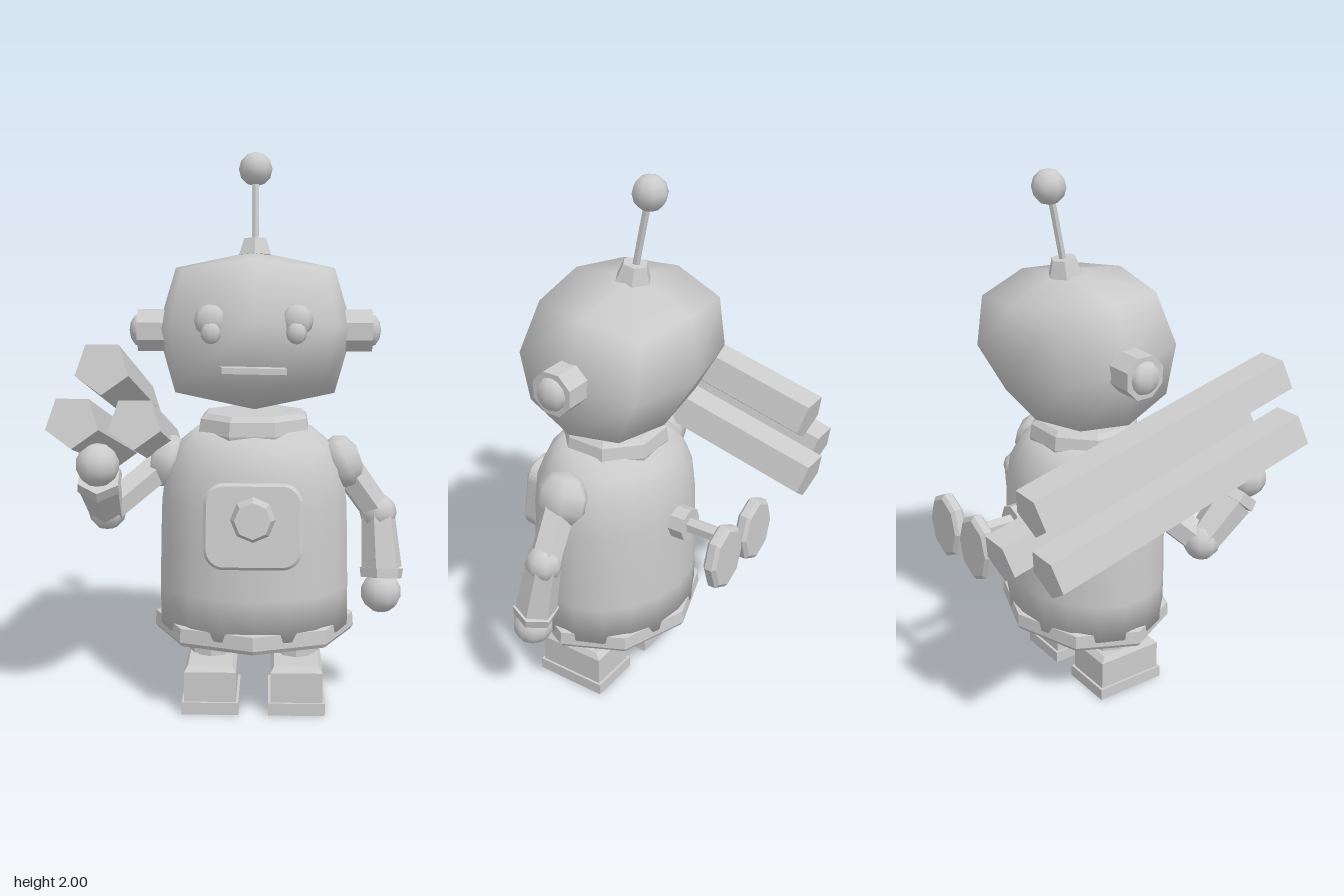
import * as THREE from 'three';
import { mergeVertices } from 'three/addons/utils/BufferGeometryUtils.js';

const CX = 0.053; // the body's own middle line
const CZ = 0.055;
const smooth = new THREE.MeshStandardMaterial({ color: 0xcccccc });
const flat = new THREE.MeshStandardMaterial({ color: 0xcccccc, flatShading: true });
const V = (x, y, z) => new THREE.Vector3(x, y, z);

export function createModel() {
  const model = new THREE.Group();
  model.name = 'toyRobot';

  const add = (name, geometry, pos, material = flat, parent = model) => {
    const mesh = new THREE.Mesh(geometry, material);
    mesh.name = name;
    mesh.position.set(...pos);
    parent.add(mesh);
    return mesh;
  };
  const cyl = (rTop, rBottom, h, sides) => new THREE.CylinderGeometry(rTop, rBottom, h, sides);
  // Tapered bar from point a to point b
  const bar = (name, a, b, ra, rb, sides = 6) => {
    const dir = b.clone().sub(a);
    const mesh = add(name, cyl(rb, ra, dir.length(), sides), a.clone().lerp(b, 0.5).toArray());
    mesh.quaternion.setFromUnitVectors(V(0, 1, 0), dir.normalize());
    return mesh;
  };
  const ball = (name, pos, r, scale = [1, 1, 1], w = 10, h = 7, parent = model) => {
    const mesh = add(name, new THREE.SphereGeometry(r, w, h), pos, smooth, parent);
    mesh.scale.set(...scale);
    return mesh;
  };
  const lathe = (points, sides) =>
    new THREE.LatheGeometry(points.map(([x, y]) => new THREE.Vector2(x, y)), sides);

  // Head: a coarse box bulged so corners and edges pull in
  let headGeo = new THREE.BoxGeometry(2, 2, 2, 2, 2, 2);
  headGeo.deleteAttribute('normal');
  headGeo.deleteAttribute('uv');
  headGeo = mergeVertices(headGeo);
  const p = headGeo.attributes.position;
  for (let i = 0; i < p.count; i++) {
    const s = [p.getX(i), p.getY(i), p.getZ(i)].map(Math.round);
    const kind = Math.abs(s[0]) + Math.abs(s[1]) + Math.abs(s[2]);
    const sx = [0, 0.352, 0.287, 0.245][kind];
    const sy = [0, 0.285, 0.225, 0.195][kind];
    const sz = [0, 0.3, 0.238, 0.205][kind];
    const tuck = s[1] < 0 && s[2] < 0 ? 0.85 : 1;
    p.setXYZ(i, s[0] * sx, s[1] * sy, s[2] * sz * tuck);
  }
  headGeo.computeVertexNormals();
  const head = add('head', headGeo, [CX, 1.365, 0.01], smooth);
  head.rotation.x = -0.15;

  // Ears, eyes and mouth
  for (const s of [-1, 1]) {
    const ear = add('ear', cyl(0.08, 0.08, 0.16, 8), [CX + s * 0.34, 1.365, 0.007]);
    ear.rotation.set(0, Math.PI / 8, Math.PI / 2, 'ZYX');
    ball('earCap', [CX + s * 0.415, 1.365, 0.007], 0.06, [0.65, 1, 1], 8, 6);
    ball('eye', [CX + s * 0.148, 1.415, 0.265], 0.055, [1, 1, 0.55], 8, 6);
    ball('pupil', [CX + s * 0.145, 1.375, 0.28], 0.036, [1, 1.1, 0.7], 8, 6);
  }
  const mouth = add('mouth', new THREE.BoxGeometry(0.22, 0.02, 0.06), [CX, 1.25, 0.315]);
  mouth.rotation.set(0, 0.13, -0.03);

  // Antenna
  const antennaBase = add('antennaBase', cyl(0.045, 0.066, 0.06, 6), [CX, 1.66, -0.03]);
  antennaBase.rotation.set(-0.15, 0, 0);
  bar('antennaRod', V(CX, 1.66, -0.032), V(CX, 1.93, -0.088), 0.014, 0.014);
  ball('antennaBall', [CX, 1.94, -0.092], 0.061, [1, 1, 1], 8, 6);

  // Torso, collar and base skirt, oval in plan
  const torso = add('torso', lathe([
    [0, 0.28], [0.345, 0.3], [0.345, 0.45], [0.342, 0.62], [0.337, 0.76],
    [0.322, 0.88], [0.275, 0.965], [0.21, 1.02], [0, 1.03],
  ], 18), [CX, 0, CZ], smooth);
  torso.scale.z = 0.83;
  const skirt = add('skirt', lathe(
    [[0, 0.265], [0.355, 0.265], [0.366, 0.28], [0.362, 0.33], [0.335, 0.335], [0, 0.335]], 8,
  ), [CX, 0, CZ]);
  skirt.scale.z = 0.845;
  const collar = add('collar', lathe(
    [[0.205, 0.985], [0.213, 1.01], [0.205, 1.06], [0.185, 1.078], [0, 1.078]], 8,
  ), [CX, 0, CZ]);
  collar.rotation.y = Math.PI / 8;
  collar.scale.z = 0.93;

  // Chest plate with round corners, and its knob
  const chest = new THREE.Group();
  chest.name = 'chestPanel';
  chest.position.set(CX, 0.715, 0.315);
  chest.rotation.x = -0.13;
  model.add(chest);
  const w = 0.16, h = 0.138, r = 0.06;
  const plate = new THREE.Shape();
  plate.absarc(w - r, h - r, r, 0, Math.PI / 2);
  plate.absarc(r - w, h - r, r, Math.PI / 2, Math.PI);
  plate.absarc(r - w, r - h, r, Math.PI, Math.PI * 1.5);
  plate.absarc(w - r, r - h, r, Math.PI * 1.5, Math.PI * 2);
  add('chestPlate', new THREE.ExtrudeGeometry(plate, {
    depth: 0.045, bevelSize: 0.01, bevelThickness: 0.01, bevelSegments: 1, curveSegments: 4,
  }), [0, 0, -0.01], flat, chest);
  const knob = add('chestKnob', cyl(0.062, 0.08, 0.06, 8), [0, 0.025, 0.068], flat, chest);
  knob.rotation.x = Math.PI / 2;

  // Winding key on the back
  const keyPart = (name, geo, pos) => {
    const mesh = add(name, geo, pos);
    mesh.rotation.x = Math.PI / 2;
    return mesh;
  };
  keyPart('keyHub', cyl(0.062, 0.062, 0.09, 8), [CX, 0.735, -0.23]);
  keyPart('keyShaft', cyl(0.03, 0.03, 0.2, 6), [CX, 0.735, -0.335]);
  for (const s of [-1, 1]) {
    const wing = keyPart('keyWing', lathe([
      [0, -0.025], [0.088, -0.025], [0.101, -0.013], [0.101, 0.013], [0.088, 0.025], [0, 0.025],
    ], 8), [CX + s * 0.105, 0.738, -0.473]);
    wing.scale.z = 1.24;
  }

  // Legs and feet
  for (const s of [-1, 1]) {
    const x = CX + s * 0.155;
    add('leg', cyl(0.09, 0.09, 0.09, 8), [x, 0.235, CZ]);
    add('ankle', cyl(0.065, 0.065, 0.06, 8), [x, 0.18, CZ]);
    add('shoe', new THREE.BoxGeometry(0.186, 0.11, 0.265), [x, 0.1, 0.1]);
    // Sloped top of the shoe
    const top = add('shoeTop', cyl(0.113, 0.1315, 0.02, 4).rotateY(Math.PI / 4), [x, 0.165, 0.1]);
    top.scale.z = 1.42;
    add('sole', new THREE.BoxGeometry(0.204, 0.045, 0.285), [x, 0.0225, 0.1]);
  }

  // Arms: the left hangs down, the right bends up under the load
  const arm = (side, shoulder, elbow, wrist, hand) => {
    const joint = ball(side + 'Shoulder', shoulder.toArray(), 0.1, [0.78, 1, 1.08], 7, 5);
    joint.rotation.z = side === 'left' ? 0.35 : -0.35;
    bar(side + 'UpperArm', shoulder, elbow, 0.062, 0.058);
    ball(side + 'Elbow', elbow.toArray(), 0.068, [1, 1, 1], 8, 6);
    bar(side + 'Forearm', elbow, wrist, 0.062, 0.076);
    const end = wrist.clone().lerp(hand, 0.4);
    bar(side + 'Cuff', wrist, end, 0.083, 0.078);
    ball(side + 'Hand', hand.toArray(), 0.074);
  };
  arm('left', V(0.37, 0.895, 0.06), V(0.505, 0.705, 0.045), V(0.518, 0.505, 0.08), V(0.515, 0.42, 0.1));
  arm('right', V(-0.265, 0.895, 0.06), V(-0.465, 0.74, 0.2), V(-0.47, 0.865, 0.33), V(-0.467, 0.94, 0.395));

  // Three five-sided logs resting on the right hand
  for (const [x, y, z] of [[-0.525, 0.98, 0.022], [-0.425, 1.155, 0.026], [-0.331, 0.968, -0.036]]) {
    const log = add('log', cyl(0.09, 0.09, 1.065, 5), [x, y, z]);
    log.rotation.x = Math.PI / 2 - 0.244;
  }

  return model;
}
